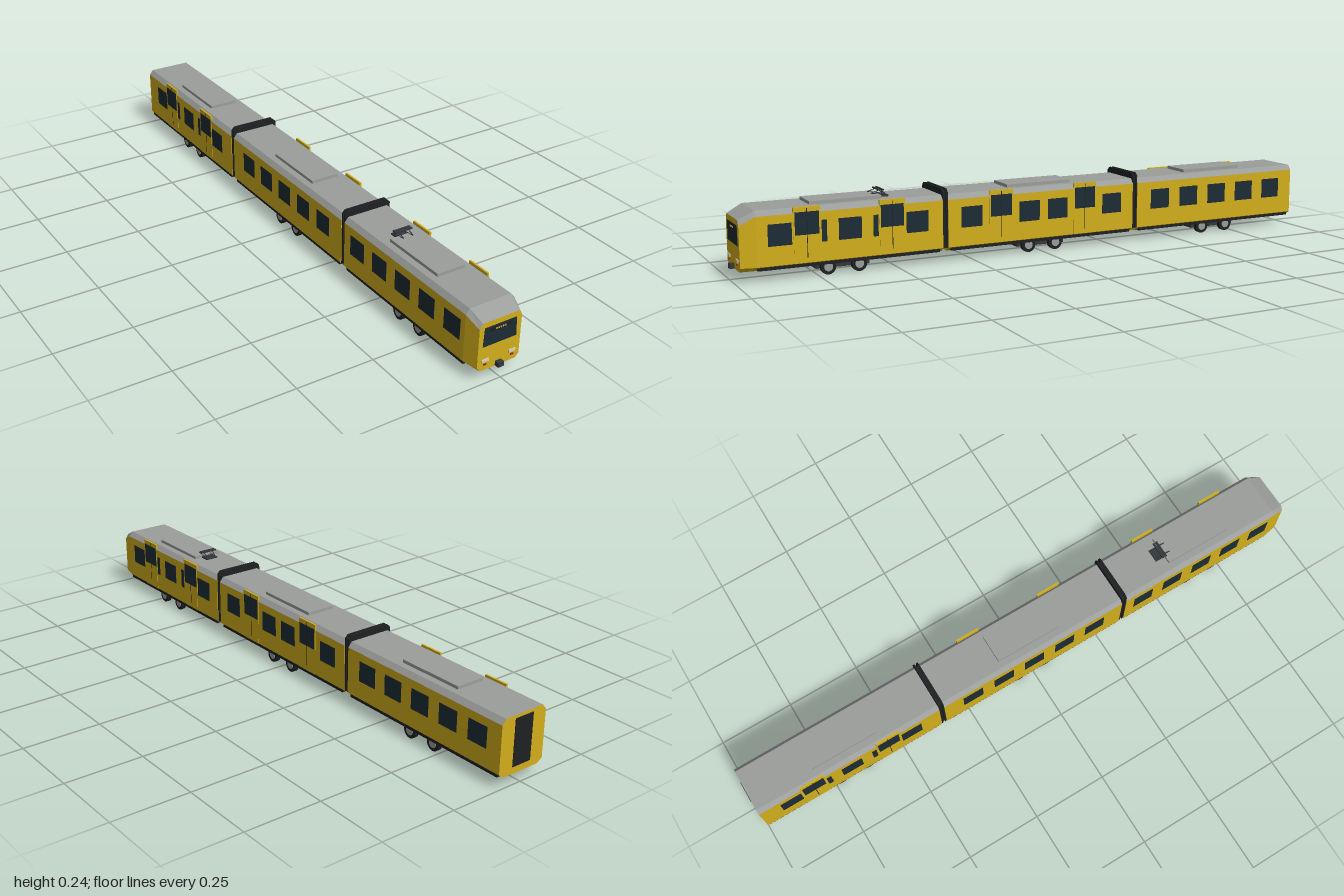
import * as THREE from 'three';

const mat = (color) => new THREE.MeshStandardMaterial({ color, flatShading: true });
const YELLOW = mat(0xd2ae1c), ROOF = mat(0x9c9e9c), GLASS = mat(0x1c2c34), BLACK = mat(0x1e2022);
const DARK = mat(0x33383c), STEEL = mat(0x9a9c9c), LAMP = mat(0xd8d2b4), RED = mat(0xa02418), AMBER = mat(0xe0a850);

function add(parent, name, geometry, material, x = 0, y = 0, z = 0) {
  const mesh = new THREE.Mesh(geometry, material);
  mesh.name = name;
  mesh.position.set(x, y, z);
  parent.add(mesh);
  return mesh;
}

// Box given by its limits on each axis
function box(parent, name, material, [x0, x1], [y0, y1], [z0, z1]) {
  return add(parent, name, new THREE.BoxGeometry(x1 - x0, y1 - y0, z1 - z0), material,
    (x0 + x1) / 2, (y0 + y1) / 2, (z0 + z1) / 2);
}

// Half section from bottom to roof, mirrored into a closed ring
const ring = (half, z) => [...half, ...half.map(([x, y]) => [-x, y]).reverse()]
  .map(([x, y]) => new THREE.Vector3(x, y, z));
const SECTION = [[0.066, 0.033], [0.084, 0.046], [0.084, 0.197], [0.071, 0.213]];
const NOSE = [[0.062, 0.033], [0.073, 0.046], [0.073, 0.172], [0.063, 0.188]];

function polygons(list) {
  const pos = [];
  for (const p of list)
    for (let i = 1; i < p.length - 1; i++)
      for (const v of [p[0], p[i], p[i + 1]]) pos.push(v.x, v.y, v.z);
  const g = new THREE.BufferGeometry();
  g.setAttribute('position', new THREE.Float32BufferAttribute(pos, 3));
  g.computeVertexNormals();
  return g;
}

// Yellow walls and grey roof lofted through rings ordered from back to front
function bodyShell(parent, rings) {
  const walls = [[...rings[0]].reverse(), rings[rings.length - 1]], roof = [];
  for (let r = 0; r < rings.length - 1; r++)
    for (let i = 0; i < 8; i++) {
      const a = rings[r], b = rings[r + 1], j = (i + 1) % 8;
      (i >= 2 && i <= 4 ? roof : walls).push([a[i], a[j], b[j], b[i]]);
    }
  add(parent, 'bodyWalls', polygons(walls), YELLOW);
  add(parent, 'roof', polygons(roof), ROOF);
}

// x limits on one side of the train
const onSide = (s, a, b) => (s > 0 ? [a, b] : [-b, -a]);

function sideWindow(parent, s, z, width = 0.072) {
  box(parent, 'sideWindow', GLASS, onSide(s, 0.08, 0.0848), [0.105, 0.171], [z - width / 2, z + width / 2]);
}

function door(parent, s, z) {
  const g = new THREE.Group();
  g.name = 'door';
  parent.add(g);
  box(g, 'doorPanel', YELLOW, onSide(s, 0.079, 0.0852), [0.046, 0.215], [z - 0.041, z + 0.041]);
  for (const k of [-1, 1])
    box(g, 'doorWindow', GLASS, onSide(s, 0.083, 0.0858), [0.131, 0.2], [z + k * 0.019 - 0.018, z + k * 0.019 + 0.018]);
  box(g, 'doorSeam', BLACK, onSide(s, 0.083, 0.0855), [0.062, 0.211], [z - 0.001, z + 0.001]);
}

function bogie(parent, z) {
  const g = new THREE.Group();
  g.name = 'bogie';
  g.position.z = z;
  parent.add(g);
  box(g, 'bogieFrame', DARK, [-0.06, 0.06], [0.018, 0.036], [-0.085, 0.085]);
  for (const dz of [-0.049, 0.049]) {
    for (const s of [-1, 1]) {
      const wheel = add(g, 'wheel', new THREE.CylinderGeometry(0.024, 0.024, 0.015, 20), BLACK, s * 0.0655, 0.024, dz);
      const hub = add(g, 'wheelHub', new THREE.CylinderGeometry(0.014, 0.014, 0.002, 16), STEEL, s * 0.0735, 0.024, dz);
      wheel.rotation.z = hub.rotation.z = Math.PI / 2;
    }
    const axle = add(g, 'axle', new THREE.CylinderGeometry(0.008, 0.008, 0.12, 10), DARK, 0, 0.024, dz);
    axle.rotation.z = Math.PI / 2;
  }
}

// One car: shell, sills, bogie, roof unit and both sides
function car(root, name, back, front, mid, bogieZ, doorSide, hasNose, middle) {
  const g = new THREE.Group();
  g.name = name;
  root.add(g);
  const rings = [ring(SECTION, back), ring(SECTION, hasNose ? 0.937 : front)];
  if (hasNose) rings.push(ring(NOSE, front));
  bodyShell(g, rings);
  for (const s of [-1, 1])
    box(g, 'sill', BLACK, onSide(s, 0.066, 0.081), [0.034, 0.045], [back + 0.01, hasNose ? 0.935 : front - 0.01]);
  box(g, 'roofUnit', ROOF, [-0.049, 0.049], [0.21, 0.223], [mid - 0.114, mid + 0.114]);
  bogie(g, bogieZ);

  if (doorSide) {
    const doorAt = middle ? 0.152 : 0.134;
    for (const k of [-1, 1]) {
      door(g, doorSide, mid + k * doorAt);
      sideWindow(g, doorSide, mid + k * (middle ? 0.2545 : 0.216));
      if (middle) sideWindow(g, doorSide, mid + k * 0.051);
      else sideWindow(g, doorSide, mid + k * 0.081, 0.016);
    }
    if (!middle) sideWindow(g, doorSide, mid);
    for (let i = -2; i <= 2; i++) sideWindow(g, -doorSide, mid + i * 0.1155);
  }
  return g;
}

// Gangway bellows: thin ribs with chamfered tops
function bellows(root, z) {
  const g = new THREE.Group();
  g.name = 'bellows';
  root.add(g);
  [0.082, 0.078, 0.082].forEach((w, i) => {
    const d = 0.082 - w;
    const shape = new THREE.Shape([
      [-w, 0.045], [w, 0.045], [w, 0.222 - d], [w - 0.01, 0.232 - d], [10e-3 - w, 0.232 - d], [-w, 0.222 - d],
    ].map(([x, y]) => new THREE.Vector2(x, y)));
    add(g, 'bellowsRib', new THREE.ExtrudeGeometry(shape, { depth: 0.006, bevelEnabled: false }), BLACK,
      0, 0, z - 0.009 + i * 0.006);
  });
}

function rod(parent, name, a, b, radius = 0.0014) {
  const p = new THREE.Vector3(...a), q = new THREE.Vector3(...b);
  const m = add(parent, name, new THREE.CylinderGeometry(radius, radius, p.distanceTo(q), 6), DARK);
  m.position.copy(p).add(q).multiplyScalar(0.5);
  m.quaternion.setFromUnitVectors(new THREE.Vector3(0, 1, 0), q.sub(p).normalize());
}

function pantograph(root) {
  const g = new THREE.Group();
  g.name = 'pantograph';
  root.add(g);
  box(g, 'pantographBase', DARK, [-0.022, 0.022], [0.212, 0.218], [0.504, 0.546]);
  for (const x of [-0.017, 0.017]) {
    rod(g, 'lowerArm', [x, 0.217, 0.508], [x, 0.226, 0.56]);
    rod(g, 'upperArm', [x, 0.226, 0.56], [x, 0.235, 0.53]);
    rod(g, 'rearArm', [x, 0.217, 0.508], [x, 0.235, 0.53]);
  }
  for (const z of [0.525, 0.536])
    box(g, 'contactStrip', DARK, [-0.03, 0.03], [0.234, 0.238], [z - 0.003, z + 0.003]);
}

// Windscreen, display, lamps and coupler
function cabFront(root) {
  const g = new THREE.Group();
  g.name = 'cabFront';
  root.add(g);
  const screen = new THREE.Shape([[-0.058, 0.11], [0.058, 0.11], [0.055, 0.171], [-0.055, 0.171]]
    .map(([x, y]) => new THREE.Vector2(x, y)));
  add(g, 'windscreen', new THREE.ExtrudeGeometry(screen, { depth: 0.004, bevelEnabled: false }), GLASS, 0, 0, 0.982);
  box(g, 'displayPanel', BLACK, [-0.037, 0.037], [0.154, 0.165], [0.984, 0.987]);
  for (let i = -2; i <= 2; i++)
    box(g, 'displayLight', AMBER, [i * 0.0075 - 0.0025, i * 0.0075 + 0.0025], [0.157, 0.162], [0.985, 0.988]);
  for (const s of [-1, 1]) {
    box(g, 'headlight', LAMP, onSide(s, 0.035, 0.059), [0.06, 0.069], [0.982, 0.988]);
    box(g, 'tailLight', RED, onSide(s, 0.042, 0.052), [0.05, 0.054], [0.982, 0.988]);
  }
  box(g, 'coupler', DARK, [-0.01, 0.01], [0.034, 0.049], [0.96, 1]);
}

export function createModel() {
  const root = new THREE.Group();
  root.name = 'articulatedTrain';
  car(root, 'frontCar', 0.35, 0.985, 0.651, 0.67, 1, true, false);
  car(root, 'middleCar', -0.339, 0.332, -0.003, -0.003, 1, false, true);
  car(root, 'rearCar', -0.998, -0.357, -0.678, -0.678, -1, false, false);
  bellows(root, 0.341);
  bellows(root, -0.348);
  pantograph(root);
  cabFront(root);
  box(root, 'rearGangwayDoor', BLACK, [-0.034, 0.034], [0.055, 0.203], [-1, -0.99]);
  return root;
}
